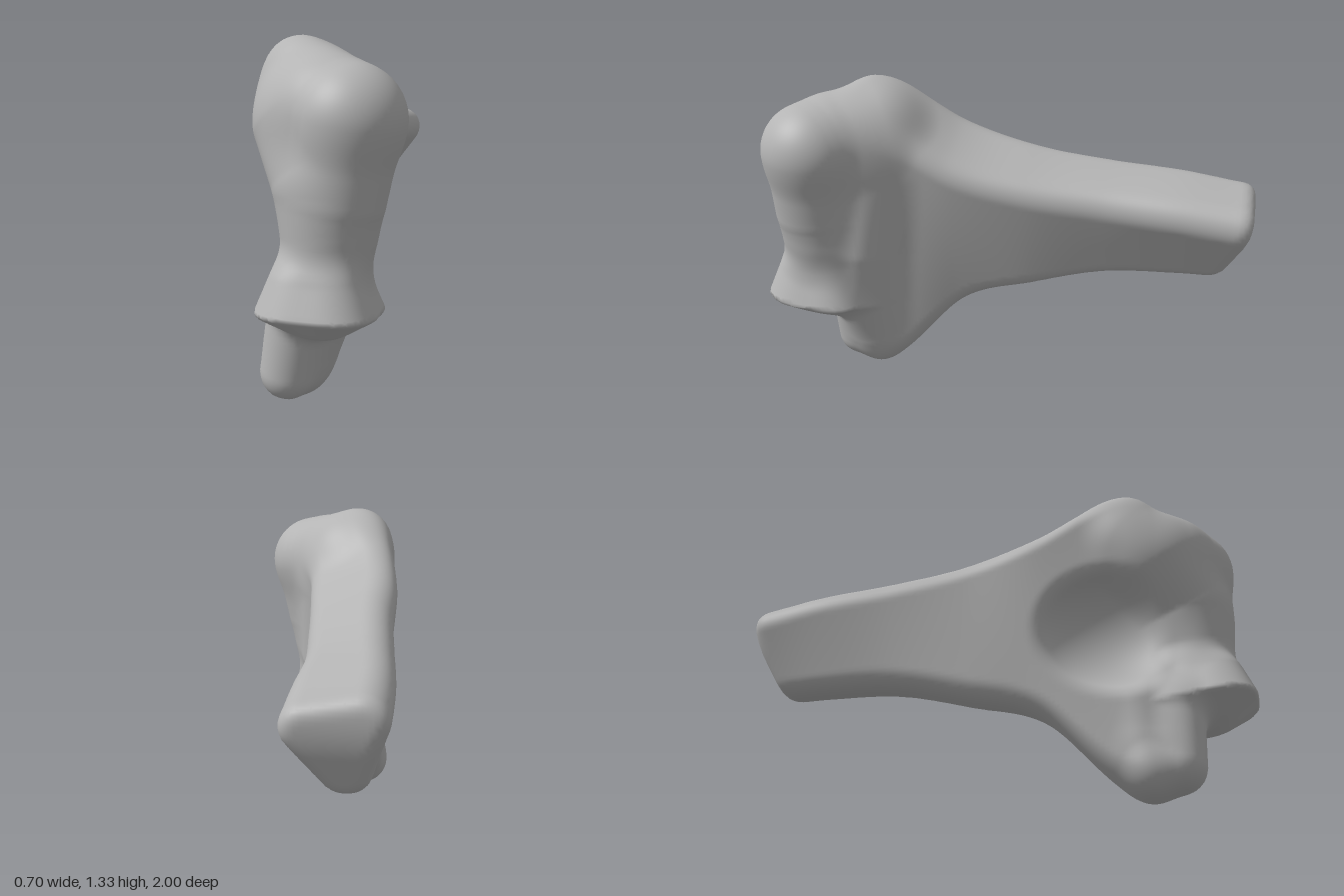
import * as THREE from 'three';

// Smooth union and smooth intersection of distances
const blend = (a, b, k) => Math.min(a, b) - Math.max(k - Math.abs(a - b), 0) ** 2 / (4 * k);
const cut = (a, b, k) => -blend(-a, -b, k);
const clamp01 = t => Math.min(1, Math.max(0, t));

// Tapered capsule between two balls [x, y, z, radius]
function limb(p, a, b) {
  const dx = b[0] - a[0], dy = b[1] - a[1], dz = b[2] - a[2];
  const along = dx * (p[0] - a[0]) + dy * (p[1] - a[1]) + dz * (p[2] - a[2]);
  const t = clamp01(along / (dx * dx + dy * dy + dz * dz));
  return Math.hypot(p[0] - a[0] - dx * t, p[1] - a[1] - dy * t, p[2] - a[2] - dz * t) - a[3] - (b[3] - a[3]) * t;
}

// Signed distance to a triangle given clockwise as x, y pairs
function triangle(x, y, c) {
  let d = Infinity, inside = true;
  for (let i = 0; i < 6; i += 2) {
    const ex = c[(i + 2) % 6] - c[i], ey = c[(i + 3) % 6] - c[i + 1], px = x - c[i], py = y - c[i + 1];
    const t = clamp01((px * ex + py * ey) / (ex * ex + ey * ey));
    d = Math.min(d, Math.hypot(px - ex * t, py - ey * t));
    inside &&= ex * py - ey * px < 0;
  }
  return inside ? -d : d;
}

// Shaft sections every 0.3 from z = -1: rounded wedges, as
// upper right flank, left flank and lower edge (x, y each), then the rounding
const sections = [
  [-0.258, 0.822, -0.075, 0.79, -0.190, 0.625, 0.093],
  [-0.252, 0.862, -0.073, 0.82, -0.195, 0.620, 0.093],
  [-0.222, 0.892, -0.075, 0.84, -0.180, 0.605, 0.095],
  [-0.195, 0.940, -0.042, 0.87, -0.160, 0.530, 0.095],
  [-0.185, 1.030, -0.005, 0.94, -0.135, 0.435, 0.095],
  [-0.110, 1.195, 0.030, 1.09, -0.100, 0.155, 0.105],
  [-0.020, 1.200, 0.100, 1.10, -0.100, 0.110, 0.110],
];
function shaft([x, y, z]) {
  const last = sections.length - 1;
  const s = clamp01((z + 1) / 1.8) * last, i = Math.min(last - 1, Math.floor(s)), t = s - i;
  const [a, b, c, d] = [Math.max(0, i - 1), i, i + 1, Math.min(last, i + 2)].map(n => sections[n]);
  const wedge = b.map((v, n) =>
    v + 0.5 * t * (c[n] - a[n] + t * (2 * a[n] - 5 * v + 4 * c[n] - d[n] + t * (3 * (v - c[n]) + d[n] - a[n]))));
  const tube = triangle(x, y, wedge) - wedge[6];
  const heel = cut(-z - 1.005, (-z - 1.0 + 0.48 * (0.76 - y)) * 0.9, 0.04);
  return cut(cut(tube, heel, 0.06), z - 0.63, 0.1);
}

// Hollow in the right flank, under the crown
function hollow([x, y, z]) {
  return (Math.hypot((x + 0.30) / 0.24, (y - 0.68) / 0.285, (z - 0.54) / 0.34) - 1) * 0.26;
}

// Flared collar with a sharp rim below the neck
function collar([x, y, z]) {
  const r = Math.cbrt(Math.abs(x - 0.058) ** 3 + Math.abs(z - 0.79) ** 3), h = y - 0.4 - 0.1 * (z - 0.8);
  const flare = Math.max((r - 0.215 + 0.4 * h) * 0.93, (r - 0.215 - 1.6 * h) * 0.53);
  return cut(cut(flare, y - 0.6, 0.06), -h - 0.11, 0.05);
}

// Ball-to-ball chains [x, y, z, radius], each joined with its own softness
const web = [0.15, [0.05, 0.95, 0.58, 0.125], [0.07, 0.62, 0.62, 0.12], [0.03, 0.4, 0.64, 0.115], [-0.05, 0.2, 0.62, 0.085]];
const chains = [
  // foot
  [0.05, [-0.105, 0.108, 0.60, 0.103], [-0.1, 0.125, 0.69, 0.103], [-0.06, 0.36, 0.69, 0.11]],
  // crown
  [0.08, [-0.04, 1.105, 0.55, 0.195], [0.06, 1.08, 0.69, 0.2], [0.155, 1.06, 0.76, 0.18]],
  // head tapering to the neck
  [0.06, [0.155, 1.06, 0.76, 0.182], [0.115, 0.8, 0.77, 0.168], [0.075, 0.58, 0.765, 0.142]],
  // oblique front face
  [0.06, [-0.02, 1.02, 0.64, 0.2], [0.05, 0.84, 0.74, 0.172], [0.075, 0.66, 0.76, 0.15]],
];

function join(d, p, [softness, ...balls]) {
  let chain = Infinity;
  for (let i = 1; i < balls.length; i++) chain = Math.min(chain, limb(p, balls[i - 1], balls[i]));
  return blend(d, chain, softness);
}
function field(p) {
  let d = cut(join(shaft(p), p, web), -hollow(p), 0.04);
  for (const chain of chains) d = join(d, p, chain);
  return blend(d, collar(p), 0.06);
}

// Turns the field into a smooth skin: one vertex per crossed grid cell
function skin(f, min, max, step) {
  const n = min.map((v, i) => Math.ceil((max[i] - v) / step) + 1);
  const stride = [1, n[0], n[0] * n[1]];
  const at = (i, j, k) => [min[0] + i * step, min[1] + j * step, min[2] + k * step];
  const values = new Float32Array(n[0] * n[1] * n[2]);
  const each = (lo, hi, fn) => {
    for (let k = lo; k < n[2] - hi; k++) for (let j = lo; j < n[1] - hi; j++) for (let i = lo; i < n[0] - hi; i++)
      fn(i, j, k, i + j * stride[1] + k * stride[2]);
  };
  each(0, 0, (i, j, k, id) => { values[id] = f(at(i, j, k)); });

  const cell = new Map(), positions = [], normals = [], index = [];
  const gradient = p => {
    const e = 0.012;
    return new THREE.Vector3(...[0, 1, 2].map(a => {
      const q = [...p], r = [...p];
      q[a] += e; r[a] -= e;
      return f(q) - f(r);
    })).normalize();
  };
  each(0, 1, (i, j, k, id) => {
    const sum = [0, 0, 0];
    let count = 0;
    for (let c = 0; c < 8; c++) for (let a = 0; a < 3; a++) {
      if (c >> a & 1) continue;
      const o = [c & 1, c >> 1 & 1, c >> 2 & 1];
      const s = id + o[0] + o[1] * stride[1] + o[2] * stride[2];
      const u = values[s], v = values[s + stride[a]];
      if (u < 0 === v < 0) continue;
      o[a] += u / (u - v);
      o.forEach((w, m) => { sum[m] += w; });
      count++;
    }
    if (!count) return;
    const p = at(i + sum[0] / count, j + sum[1] / count, k + sum[2] / count);
    cell.set(id, positions.length / 3);
    positions.push(...p);
    normals.push(...gradient(p).toArray());
  });
  each(1, 1, (i, j, k, id) => {
    for (let a = 0; a < 3; a++) {
      const inside = values[id] < 0;
      if (inside === values[id + stride[a]] < 0) continue;
      const u = stride[(a + 1) % 3], v = stride[(a + 2) % 3];
      const [A, B, C, D] = [id - u - v, id - v, id, id - u].map(c => cell.get(c));
      index.push(...(inside ? [A, B, C, A, C, D] : [A, C, B, A, D, C]));
    }
  });
  const geometry = new THREE.BufferGeometry();
  geometry.setAttribute('position', new THREE.Float32BufferAttribute(positions, 3));
  geometry.setAttribute('normal', new THREE.Float32BufferAttribute(normals, 3));
  geometry.setIndex(index);
  return geometry;
}

export function createModel() {
  const group = new THREE.Group();
  group.name = 'heelBone';
  const material = new THREE.MeshStandardMaterial({ color: 0xb4b4b4 });
  material.name = 'bone grey';
  const bone = new THREE.Mesh(skin(field, [-0.45, -0.08, -1.08], [0.45, 1.42, 1.08], 0.018), material);
  bone.name = 'bone';
  group.add(bone);
  return group;
}
